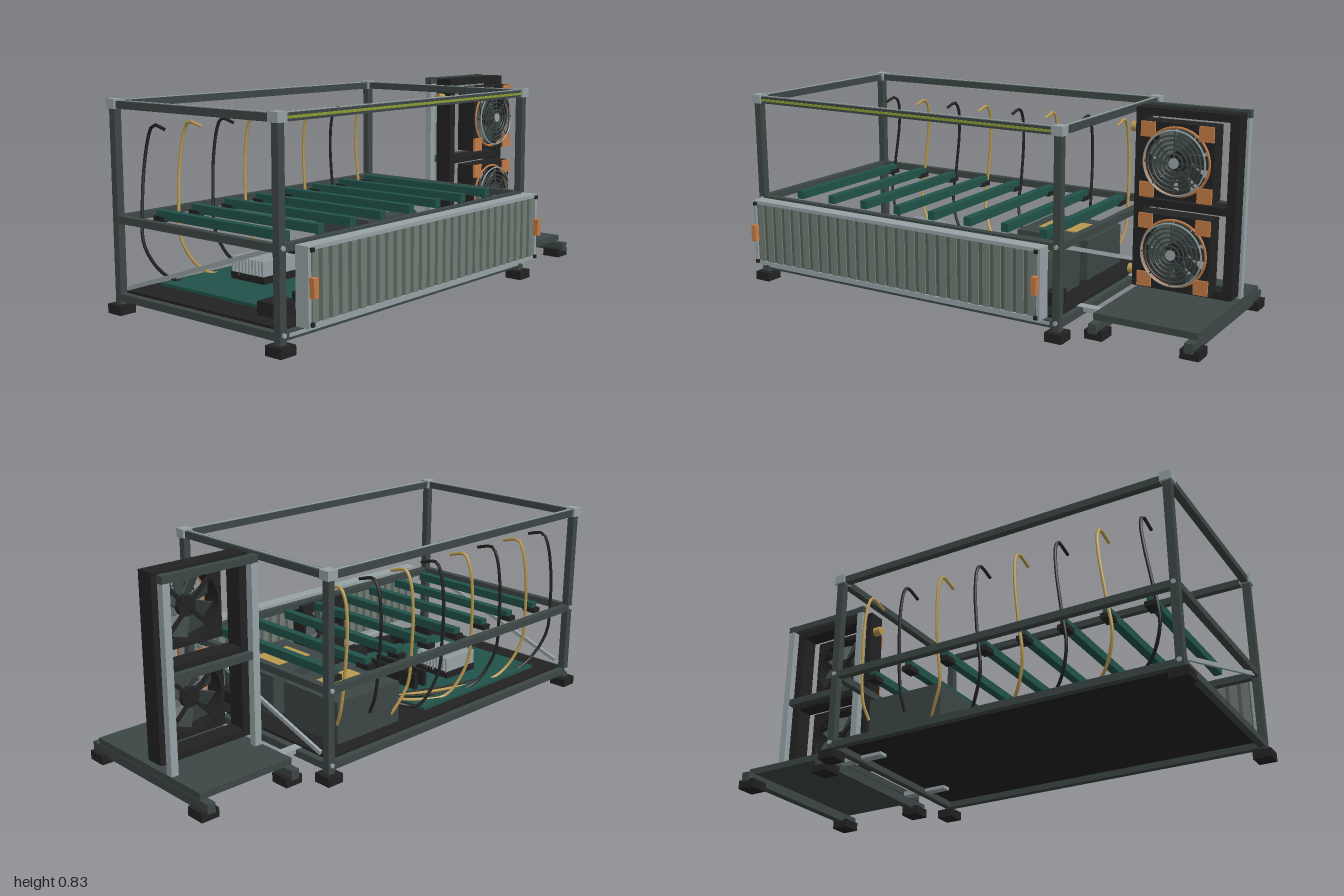
import * as THREE from 'three';

const mat = (name, color) => {
  const m = new THREE.MeshStandardMaterial({ color });
  m.name = name;
  return m;
};

export function createModel() {
  const M = {
    frame: mat('frame grey', 0x3c4745),
    steel: mat('light steel', 0x97a3a6),
    black: mat('black', 0x222222),
    green: mat('board green', 0x21524a),
    copper: mat('copper', 0xc47c45),
    gold: mat('gold', 0xb8994f),
    rib: mat('rib grey', 0x717b74),
    core: mat('core grey', 0x566059),
    lime: mat('strip lime', 0x8a9c34),
  };
  const root = new THREE.Group();
  root.name = 'openRig';

  const add = (name, geo, m, x, y, z, parent = root) => {
    const mesh = new THREE.Mesh(geo, m);
    mesh.name = name;
    mesh.position.set(x, y, z);
    parent.add(mesh);
    return mesh;
  };
  const box = (name, m, w, h, d, x, y, z, parent) =>
    add(name, new THREE.BoxGeometry(w, h, d), m, x, y, z, parent);
  const group = (name, x = 0, y = 0, z = 0) => {
    const g = new THREE.Group();
    g.name = name;
    g.position.set(x, y, z);
    root.add(g);
    return g;
  };

  // Main open frame
  const XL = -0.965, XR = 0.47, ZF = 0.378, ZB = -0.46;
  const XC = (XL + XR) / 2, ZC = (ZF + ZB) / 2, W = XR - XL, D = ZF - ZB;
  const frame = group('mainFrame');
  for (const x of [XL, XR]) {
    for (const z of [ZF, ZB]) {
      box('post', M.frame, 0.03, 0.75, 0.03, x, 0.41, z, frame);
      box('foot', M.black, 0.072, 0.036, 0.074, x, 0.018, z, frame);
      box('topCorner', M.steel, 0.046, 0.036, 0.046, x, 0.79, z, frame);
      const s = Math.sign(z);
      for (const y of [0.07, 0.362]) {
        const bolt = add('bolt', new THREE.CylinderGeometry(0.009, 0.009, 0.008, 8), M.steel, x, y, z + s * 0.018, frame);
        bolt.rotation.x = Math.PI / 2;
      }
    }
    for (const y of [0.063, 0.36, 0.787]) box('sideRail', M.frame, 0.028, 0.028, D - 0.03, x, y, ZC, frame);
    box('railInlay', M.steel, 0.009, 0.004, D - 0.05, x, 0.802, ZC, frame);
    // Diagonal brace on each side
    const brace = box('brace', M.steel, 0.012, 0.016, Math.hypot(0.755, 0.25), x, 0.226, -0.038, frame);
    brace.rotation.x = -Math.atan2(0.25, 0.755);
  }
  for (const z of [ZF, ZB]) {
    for (const y of [0.063, 0.36, 0.787]) box('longRail', M.frame, W - 0.03, 0.028, 0.028, XC, y, z, frame);
    box('railInlay', M.steel, W - 0.05, 0.004, 0.009, XC, 0.802, z, frame);
  }
  box('frontRailInlay', M.steel, W - 0.05, 0.012, 0.006, XC, 0.066, ZF + 0.016, frame);
  box('lightStrip', M.lime, W - 0.05, 0.009, 0.006, XC, 0.787, ZF + 0.016, frame);
  box('floorPlate', M.black, W - 0.03, 0.012, D - 0.03, XC, 0.08, ZC, frame);

  // Long ribbed radiator on the front
  const rad = group('frontRadiator', -0.2425, 0.2375, 0.45);
  box('radiatorCore', M.core, 1.36, 0.25, 0.04, 0, 0, 0, rad);
  for (const s of [-1, 1]) {
    box('radiatorRail', M.steel, 1.385, 0.014, 0.058, 0, s * 0.13, 0, rad);
    box('radiatorEnd', M.steel, 0.014, 0.274, 0.058, s * 0.686, 0, 0, rad);
    box('copperTab', M.copper, 0.022, 0.068, 0.022, s * 0.678, 0, 0.04, rad);
    for (const t of [-1, 1]) box('cornerStud', M.black, 0.014, 0.014, 0.01, s * 0.678, t * 0.125, 0.033, rad);
  }
  for (let i = 0; i < 28; i++) {
    const x = -0.655 + (i * 1.31) / 27;
    box('radiatorRib', M.rib, 0.03, 0.246, 0.052, x, 0, 0, rad);
  }
  box('radiatorLip', M.steel, 1.2, 0.01, 0.03, 0.04, -0.147, -0.03, rad);

  // Fan: square housing with a round opening, rotor, guard and copper corners
  const fan = (name, size, depth, x, y, z) => {
    const g = group(name, x, y, z);
    const h = size / 2, r = h * 0.9;
    const sq = new THREE.Shape([[-h, -h], [h, -h], [h, h], [-h, h]].map(p => new THREE.Vector2(...p)));
    sq.holes.push(new THREE.Path().absarc(0, 0, r, 0, Math.PI * 2, true));
    const shell = new THREE.ExtrudeGeometry(sq, { depth, bevelEnabled: false, curveSegments: 24 });
    add('fanHousing', shell, M.black, 0, 0, -depth / 2, g);
    for (const s of [-1, 1])
      for (const t of [-1, 1])
        box('cornerPad', M.copper, size * 0.2, size * 0.2, 0.01, s * h * 0.8, t * h * 0.8, depth / 2 + 0.003, g);
    add('copperRing', new THREE.TorusGeometry(r, 0.005, 6, 40), M.copper, 0, 0, depth / 2, g);
    const hub = add('hub', new THREE.CylinderGeometry(r * 0.3, r * 0.3, depth * 0.7, 20), M.black, 0, 0, 0, g);
    hub.rotation.x = Math.PI / 2;
    for (let i = 0; i < 9; i++) {
      const arm = new THREE.Group();
      arm.name = 'blade';
      arm.rotation.z = (i * Math.PI * 2) / 9;
      g.add(arm);
      box('bladePlate', M.frame, r * 0.66, r * 0.5, 0.006, r * 0.6, 0, 0, arm).rotation.x = 0.5;
    }
    // Rear struts
    for (const a of [1, -1])
      box('rearStrut', M.black, size * 1.2, 0.014, 0.01, 0, 0, -depth / 2 + 0.006, g).rotation.z = a * Math.PI / 4;
    return g;
  };
  const guard = (g, r, z) => {
    for (let i = 1; i <= 7; i++)
      add('guardRing', new THREE.TorusGeometry((r * i) / 7, 0.0035, 5, 36), i === 7 ? M.steel : M.frame, 0, 0, z, g);
    for (let i = 0; i < 4; i++)
      box('guardSpoke', M.frame, 2 * r, 0.005, 0.004, 0, 0, z, g).rotation.z = (i * Math.PI) / 4;
    add('guardCentre', new THREE.CylinderGeometry(0.02, 0.02, 0.006, 16), M.steel, 0, 0, z + 0.002, g).rotation.x = Math.PI / 2;
  };
  fan('radiatorFan', 0.25, 0.07, -0.245, 0.235, 0.37);

  // Side tower with two fans
  const TX = 0.772;
  const tower = group('fanTower');
  for (const s of [-1, 1]) {
    const x = TX + s * 0.19;
    box('baseRunner', M.frame, 0.034, 0.038, 0.72, x, 0.046, -0.042, tower);
    for (const z of [0.268, -0.355]) box('towerFoot', M.black, 0.074, 0.036, 0.08, x, 0.018, z, tower);
    box('towerSide', M.black, 0.036, 0.71, 0.075, x - s * 0.002, 0.47, -0.093, tower);
    box('towerPost', M.steel, 0.03, 0.72, 0.03, x, 0.44, -0.18, tower);
    box('postCap', M.frame, 0.034, 0.03, 0.03, x, 0.813, -0.18, tower);
  }
  for (const [y, h] of [[0.128, 0.03], [0.456, 0.03], [0.81, 0.03]])
    box('towerCrossbar', M.black, 0.4, h, 0.075, TX, y, -0.093, tower);
  for (const y of [0.452, 0.813]) box('postCrossbar', M.frame, 0.38, 0.028, 0.026, TX, y, -0.18, tower);
  box('towerPlate', M.frame, 0.415, 0.026, 0.635, TX, 0.08, -0.043, tower);
  for (const y of [0.293, 0.645]) {
    const g = fan('towerFan', 0.288, 0.085, TX, y, -0.0125);
    guard(g, 0.122, 0.068);
  }
  for (const y of [0.165, 0.74])
    add('pipeFitting', new THREE.CylinderGeometry(0.02, 0.02, 0.045, 14), M.gold, 0.555, y, -0.1, tower).rotation.z = Math.PI / 2;
  // Links between the frame and the tower base
  for (const z of [0.18, -0.275]) box('baseLink', M.steel, 0.21, 0.018, 0.04, 0.465, 0.07, z, tower);

  // Main board with cooler and memory
  const board = group('mainBoard');
  box('boardPlate', M.green, 0.71, 0.012, 0.61, -0.475, 0.096, -0.085, board);
  box('coolerBase', M.black, 0.18, 0.03, 0.18, -0.52, 0.115, -0.15, board);
  for (let i = 0; i < 10; i++) box('coolerFin', M.steel, 0.18, 0.07, 0.009, -0.52, 0.155, -0.231 + i * 0.018, board);
  for (const x of [-0.3, -0.245]) box('memoryStick', M.black, 0.016, 0.07, 0.28, x, 0.135, -0.09, board);

  // Two power boxes with labels and vents
  for (const [z, d] of [[-0.2325, 0.305], [0.1425, 0.315]]) {
    const g = group('powerBox', 0.19, 0, z);
    box('powerCase', M.frame, 0.33, 0.17, d, 0, 0.17, 0, g);
    box('powerLabel', M.gold, 0.215, 0.004, 0.145, 0, 0.257, 0, g);
    for (let i = 0; i < 6; i++) box('ventSlat', M.black, 0.26, 0.008, 0.008, 0, 0.11 + i * 0.022, d / 2 + 0.003, g);
  }

  // Eight cross bars, each with a socket below and a looping cable
  for (let i = 0; i < 8; i++) {
    const x = -0.84 + i * 0.171;
    box('crossBar', M.green, 0.032, 0.034, 0.665, x, 0.371, -0.0425);
    box('socket', M.black, 0.1, 0.05, 0.085, x, 0.115, 0.235);
    box('barClip', M.black, 0.04, 0.02, 0.06, x, 0.356, -0.36);
    const shift = -0.042 + i * 0.0075;
    const start = x < 0.02
      ? [[0.02, 0.15, -0.265], [x * 0.5, 0.105, -0.32], [x + 0.05, 0.11, -0.37]]
      : [[x, 0.17, -0.385]];
    const pts = [...start, [x + shift, 0.24, -0.415], [x + shift * 0.8, 0.4, -0.435],
      [x + shift * 0.3, 0.56, -0.441], [x, 0.67, -0.425], [x, 0.705, -0.4], [x, 0.69, -0.325]];
    const path = new THREE.CatmullRomCurve3(pts.map(p => new THREE.Vector3(...p)), false, 'centripetal');
    add('cable', new THREE.TubeGeometry(path, 48, 0.0065, 7), i % 2 ? M.gold : M.black, 0, 0, 0);
  }

  return root;
}
